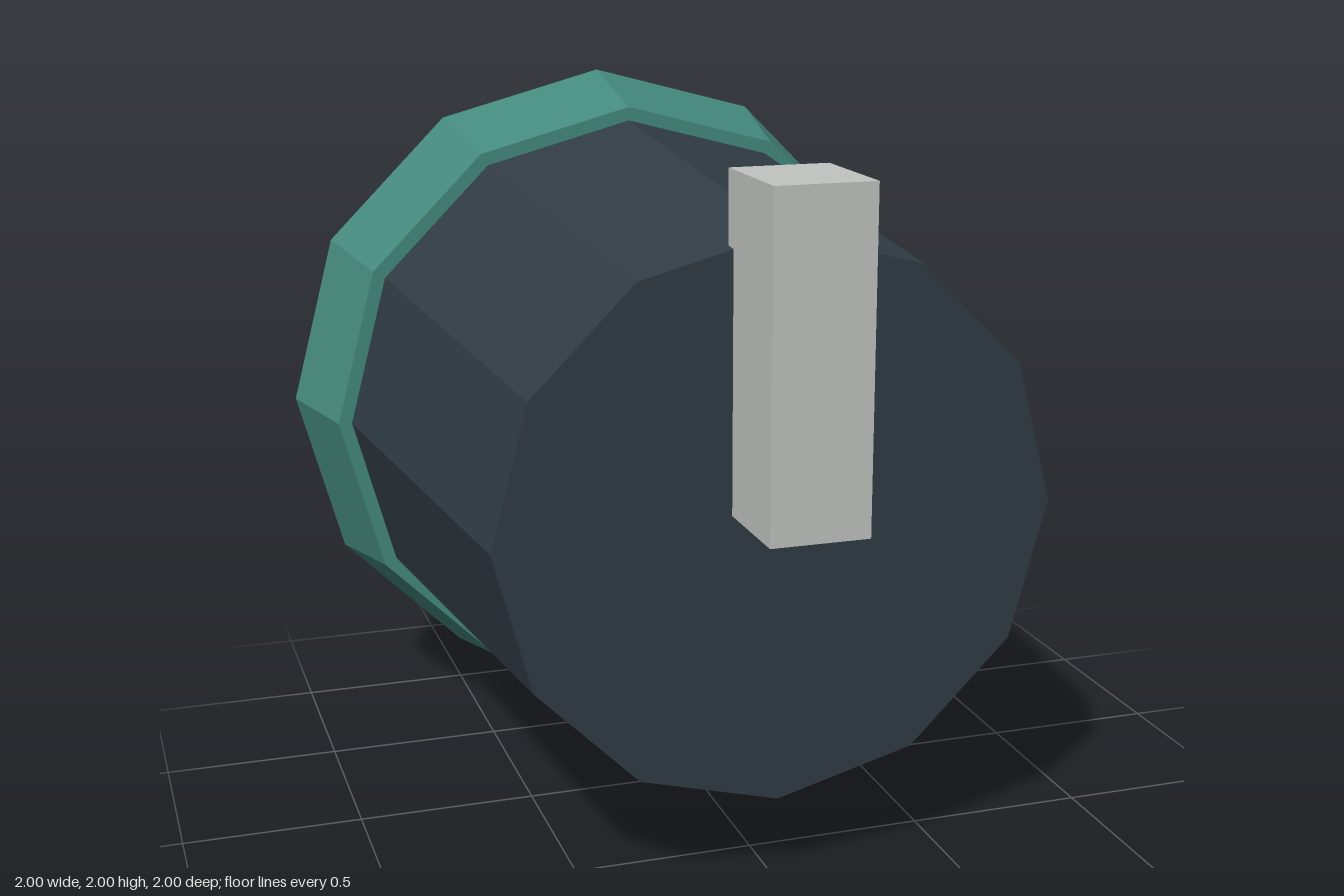
import * as THREE from 'three';

export function createModel() {
  const group = new THREE.Group();
  group.name = 'controlKnob';

  const material = (name, color) => {
    const m = new THREE.MeshStandardMaterial({ color, flatShading: true });
    m.name = name;
    return m;
  };
  const slate = material('dark slate', 0x303c44);
  const teal = material('teal green', 0x458a7d);
  const grey = material('light grey', 0xc0c4bf);

  const add = (name, geometry, mat, y, z) => {
    const mesh = new THREE.Mesh(geometry, mat);
    mesh.name = name;
    mesh.position.set(0, y, z);
    group.add(mesh);
  };

  // Twelve-sided tapered drum lying along z
  const drum = (name, frontRadius, backRadius, zFront, zBack, mat) => {
    const geometry = new THREE.CylinderGeometry(frontRadius, backRadius, zFront - zBack, 12);
    geometry.rotateX(Math.PI / 2);
    add(name, geometry, mat, 1, (zFront + zBack) / 2);
  };

  // Flared skirt at the back, and the grip seated slightly into it
  drum('skirt', 0.92, 1, -0.64, -1, teal);
  drum('grip', 0.76, 0.885, 0.72, -0.7, slate);

  // Pointer bar sunk into the front face
  add('pointer', new THREE.BoxGeometry(0.264, 0.88, 0.32), grey, 1.48, 0.84);

  return group;
}
